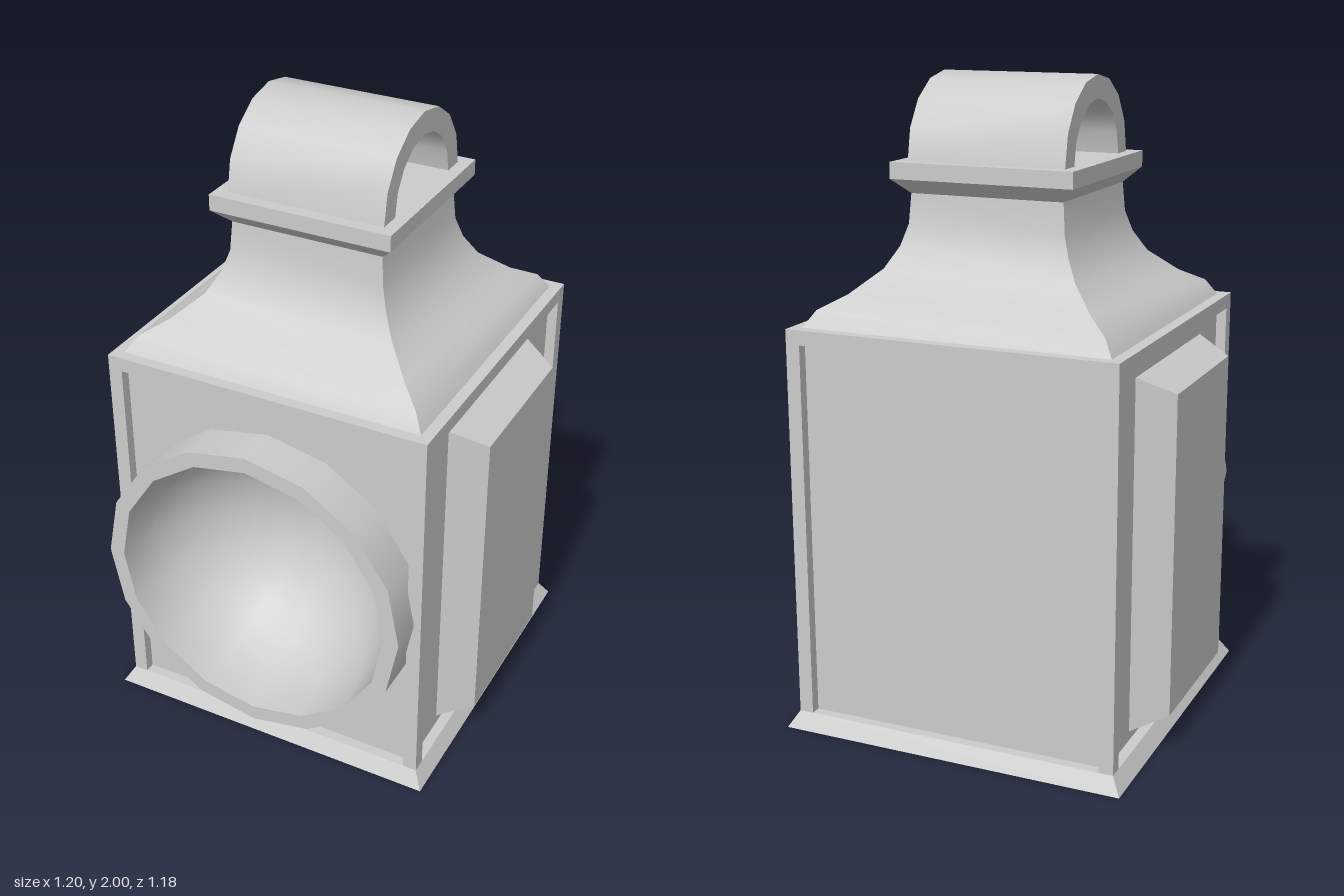
import * as THREE from 'three';
import { toCreasedNormals } from 'three/addons/utils/BufferGeometryUtils.js';

const material = new THREE.MeshStandardMaterial({ color: 0xcccccc, side: THREE.DoubleSide });

function add(parent, name, geometry) {
  const mesh = new THREE.Mesh(geometry, material);
  mesh.name = name;
  parent.add(mesh);
  return mesh;
}

function box(parent, name, size, position) {
  return add(parent, name, new THREE.BoxGeometry(...size)).position.set(...position);
}

const points = (list) => list.map(([r, y]) => new THREE.Vector2(r, y));

// Square solid from a profile of [half width, height], smooth along the profile
function squareLathe(list) {
  const geometry = new THREE.LatheGeometry(points(list.map(([h, y]) => [h * Math.SQRT2, y])), 4);
  geometry.rotateY(Math.PI / 4);
  return toCreasedNormals(geometry, 0.6);
}

// Sixteen-sided round part whose axis points to the front
const frontLathe = (list) => new THREE.LatheGeometry(points(list), 16).rotateX(Math.PI / 2);

export function createModel() {
  const root = new THREE.Group();
  root.name = 'lantern';
  const body = new THREE.Group();
  body.name = 'body';
  body.position.z = -0.0375;
  root.add(body);

  const W = 0.5225, P = 0.49, T = 0.045, Y0 = 0.05, Y1 = 1.275;
  const H = Y1 - Y0, midY = (Y0 + Y1) / 2, C = W - T / 2, lensY = 0.63;

  // Flared base
  add(body, 'base', squareLathe([[0, 0], [0.5525, 0], [W, Y0], [0, Y0]]));

  // Corner posts and top rails framing the recessed panels
  for (const s of [-1, 1]) {
    for (const t of [-1, 1]) box(body, 'cornerPost', [T, H, T], [s * C, midY, t * C]);
    box(body, 'topRail', [2 * (W - T), T, T], [0, Y1 - T / 2, s * C]);
    box(body, 'topRail', [T, T, 2 * (W - T)], [s * C, Y1 - T / 2, 0]);
    box(body, 'sidePanel', [0.02, H, 2 * P], [s * (P - 0.01), midY, 0]);
  }
  box(body, 'backPanel', [2 * P, H, 0.02], [0, midY, 0.01 - P]);

  // Front panel with the lens opening
  const front = new THREE.Shape(points([[-P, Y0], [P, Y0], [P, Y1], [-P, Y1]]));
  const hole = [];
  for (let i = 0; i < 16; i++) {
    const a = (i / 16) * Math.PI * 2;
    hole.push(new THREE.Vector2(0.48 * Math.cos(a), lensY + 0.48 * Math.sin(a)));
  }
  front.holes.push(new THREE.Path(hole));
  add(body, 'frontPanel', new THREE.ExtrudeGeometry(front, { depth: 0.02, bevelEnabled: false }))
    .position.z = P - 0.02;

  // Lens housing: outer wall, flat rim and hollow reflector bowl
  const lens = new THREE.Group();
  lens.name = 'lens';
  lens.position.y = lensY;
  body.add(lens);
  const rimZ = 0.6275;
  const bowl = [];
  for (let i = 0; i <= 10; i++) {
    const a = (i / 10) * Math.PI / 2;
    bowl.push([0.45 * Math.cos(a), rimZ - 0.45 * Math.sin(a)]);
  }
  add(lens, 'lensWall', frontLathe([[0.5, 0.47], [0.5, rimZ]]));
  add(lens, 'lensRim', frontLathe([[0.5, rimZ], [0.45, rimZ]]));
  add(lens, 'reflectorBowl', frontLathe(bowl));

  // Bevelled side windows, the outer face narrowed
  for (const s of [-1, 1]) {
    const geometry = new THREE.BoxGeometry(0.11, 1.1, 0.6);
    const p = geometry.attributes.position;
    for (let i = 0; i < p.count; i++) {
      if (p.getX(i) * s > 0) p.setXYZ(i, p.getX(i), Math.sign(p.getY(i)) * 0.5, Math.sign(p.getZ(i)) * 0.25);
    }
    geometry.computeVertexNormals();
    add(body, 'sideWindow', geometry).position.set(s * 0.545, lensY, 0);
  }

  // Swept roof and the collar on its neck
  add(body, 'roof', squareLathe([
    [0.49, 1.27], [0.455, 1.325], [0.386, 1.365], [0.307, 1.435],
    [0.27, 1.5], [0.25, 1.565], [0.243, 1.66],
  ]));
  add(body, 'collar', squareLathe([[0, 1.655], [0.243, 1.655], [0.29, 1.7], [0.29, 1.75], [0, 1.75]]));

  // Arched handle running across the top
  const arch = [];
  for (const [r, from, to] of [[0.25, 0, 8], [0.18, 8, 0]]) {
    const step = Math.sign(to - from);
    for (let i = from; i !== to + step; i += step) {
      const a = (i / 8) * Math.PI;
      arch.push(new THREE.Vector2(r * Math.cos(a), r * Math.sin(a)));
    }
  }
  const handle = new THREE.ExtrudeGeometry(new THREE.Shape(arch), { depth: 0.5, bevelEnabled: false });
  handle.translate(0, 0, -0.25).rotateY(Math.PI / 2);
  add(body, 'handle', toCreasedNormals(handle, 0.6)).position.y = 1.75;

  return root;
}
